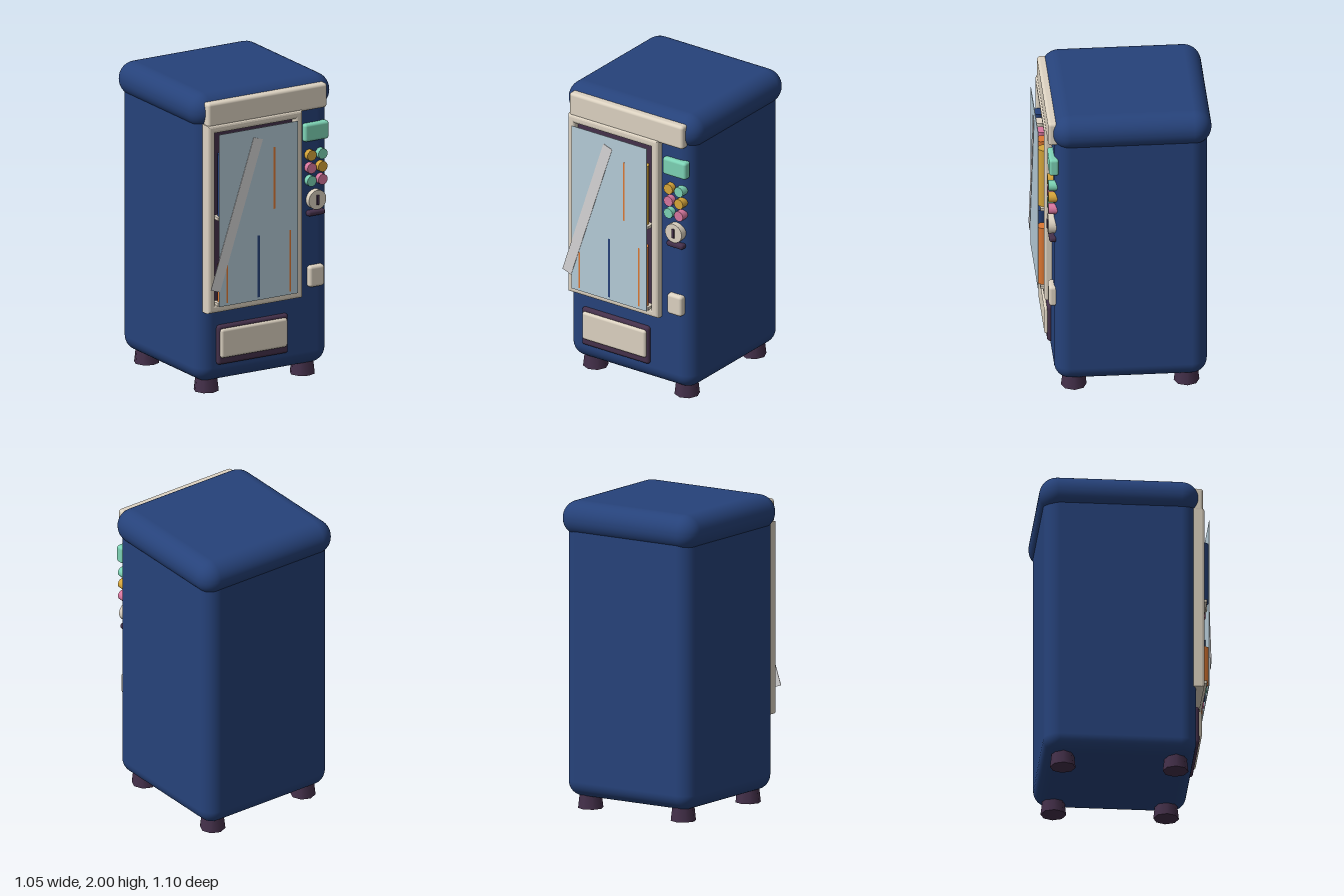
import * as THREE from 'three';
import { RoundedBoxGeometry } from 'three/addons/geometries/RoundedBoxGeometry.js';

const paint = (name, color) => {
  const m = new THREE.MeshStandardMaterial({ color });
  m.name = name;
  return m;
};

export function createModel() {
  const navy = paint('navy', 0x26427a), cream = paint('cream', 0xdcd2c1);
  const plum = paint('plum', 0x44304a), mint = paint('mint', 0x7dd3b5);
  const gold = paint('gold', 0xd6a53a), pink = paint('pink', 0xd8779f);
  const orange = paint('orange', 0xdd7833), glass = paint('glass', 0xb5cbd7);
  const glare = paint('glare', 0xd6d5d6);

  const group = new THREE.Group();
  const add = (name, geometry, material, x, y, z) => {
    const mesh = new THREE.Mesh(geometry, material);
    mesh.name = name;
    mesh.position.set(x, y, z);
    group.add(mesh);
    return mesh;
  };
  // Rounded box given by its limits on each axis
  const block = (name, material, [x0, x1], [y0, y1], [z0, z1], r, seg = 3) =>
    add(name, new RoundedBoxGeometry(x1 - x0, y1 - y0, z1 - z0, seg, r), material,
      (x0 + x1) / 2, (y0 + y1) / 2, (z0 + z1) / 2);
  // Disc facing the front
  const disc = (name, material, x, y, r, z0, z1, sides) => {
    const g = new THREE.CylinderGeometry(r, r, z1 - z0, sides).rotateX(Math.PI / 2);
    return add(name, g, material, x, y, (z0 + z1) / 2);
  };

  // Cabinet and lid
  block('cabinet', navy, [-0.49, 0.49], [0.08, 1.92], [-0.52, 0.457], 0.1, 5);
  block('lid', navy, [-0.523, 0.523], [1.77, 2], [-0.548, 0.472], 0.113, 5);
  block('signPanel', cream, [-0.45, 0.445], [1.795, 1.957], [0.43, 0.498], 0.02);

  // Feet
  for (const x of [-0.36, 0.36]) for (const z of [-0.393, 0.328])
    add('foot', new THREE.CylinderGeometry(0.066, 0.082, 0.14, 8), plum, x, 0.07, z);

  // Window frame with a rounded edge
  const rect = (shape, x0, y0, x1, y1) => {
    shape.moveTo(x0, y0);
    shape.lineTo(x1, y0);
    shape.lineTo(x1, y1);
    shape.lineTo(x0, y1);
    shape.closePath();
    return shape;
  };
  const bevel = 0.018;
  const frameShape = rect(new THREE.Shape(), -0.455 + bevel, 0.56 + bevel, 0.255 - bevel, 1.81 - bevel);
  frameShape.holes.push(rect(new THREE.Path(), -0.4 - bevel, 0.615 - bevel, 0.2 + bevel, 1.755 + bevel));
  add('windowFrame', new THREE.ExtrudeGeometry(frameShape, {
    depth: 0.07 - bevel, bevelEnabled: true, bevelThickness: bevel, bevelSize: bevel, bevelSegments: 3,
  }), cream, 0, 0, 0.437);
  add('windowBack', new THREE.BoxGeometry(0.6, 1.14, 0.008), plum, -0.1, 1.185, 0.459);

  // Shelves and goods: [colour, height, front edge]
  const columns = [-0.335, -0.217, -0.1, 0.017, 0.135];
  const rows = [
    [1.2, [[navy, 0.41, 0.541], [cream, 0.41, 0.541], [pink, 0.41, 0.541], [orange, 0.41, 0.546], [gold, 0.41, 0.541]]],
    [0.63, [[orange, 0.25, 0.5455], [mint, 0.25, 0.541], [navy, 0.41, 0.546], [pink, 0.25, 0.541], [orange, 0.41, 0.5455]]],
  ];
  for (const [y, goods] of rows) {
    add('shelf', new THREE.BoxGeometry(0.59, 0.02, 0.07), cream, -0.1, y - 0.01, 0.492);
    goods.forEach(([material, h, front], i) =>
      add('snack', new THREE.CylinderGeometry(0.042, 0.042, h, 10), material, columns[i], y + h / 2, front - 0.042));
  }

  // Glass pane and the slanted reflection
  add('glassPane', new THREE.BoxGeometry(0.592, 1.145, 0.004), glass, -0.1, 1.183, 0.5415);
  add('glassReflection', new THREE.BoxGeometry(0.072, 1.02, 0.003), glare, -0.267, 1.205, 0.548)
    .rotation.z = -0.321;

  // Control column
  block('display', mint, [0.28, 0.463], [1.583, 1.702], [0.43, 0.492], 0.018);
  const keys = [[gold, mint], [pink, gold], [mint, pink]];
  keys.forEach((row, j) => row.forEach((material, i) =>
    disc('button', material, 0.33 + i * 0.082, 1.49 - j * 0.085, 0.035, 0.43, 0.495, 12)));
  disc('coinPlate', cream, 0.372, 1.19, 0.065, 0.43, 0.495, 18);
  block('coinSlot', plum, [0.362, 0.382], [1.158, 1.222], [0.485, 0.504], 0.004);
  block('coinLip', plum, [0.308, 0.438], [1.083, 1.12], [0.44, 0.49], 0.016);
  block('coinReturn', cream, [0.315, 0.43], [0.61, 0.752], [0.43, 0.492], 0.02);

  // Delivery hatch
  block('hatchSurround', plum, [-0.365, 0.165], [0.2, 0.463], [0.42, 0.481], 0.02);
  block('hatchFlap', cream, [-0.35, 0.15], [0.247, 0.44], [0.45, 0.498], 0.018);

  return group;
}
